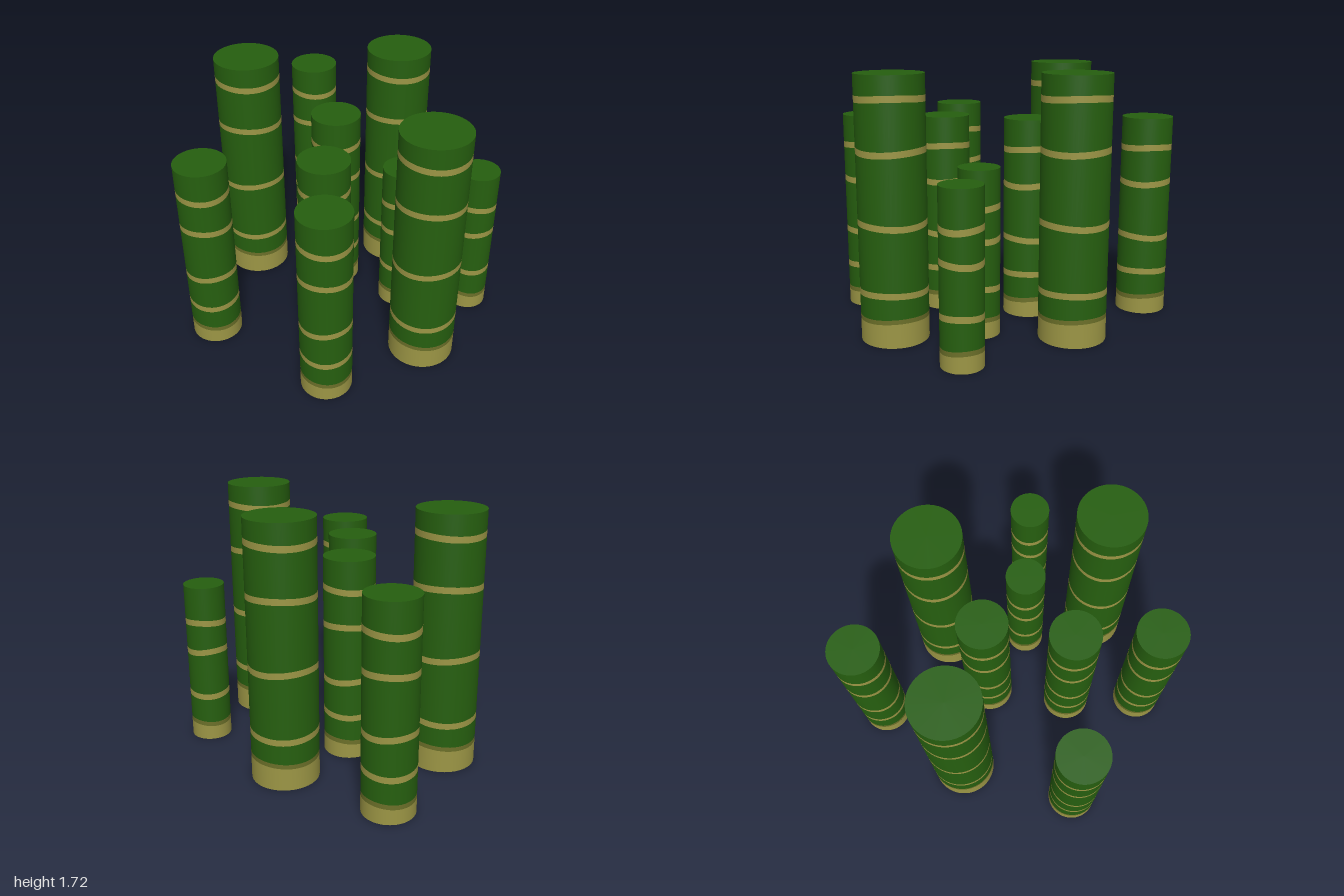
import * as THREE from 'three';

const SEGMENTS = 48;

function material(name, color) {
  const m = new THREE.MeshStandardMaterial({ color, side: THREE.DoubleSide });
  m.name = name;
  return m;
}

// Gentle rise and fall of each ring around the stalk
const wave = (angle, row) => 0.007 * Math.cos(2 * angle + row * 1.9);

// Open tube section whose lower and upper rims follow the wave
function section(radius, y0, y1, wave0, wave1) {
  const geo = new THREE.CylinderGeometry(radius, radius, 1, SEGMENTS, 1, true);
  const p = geo.attributes.position;
  for (let i = 0; i < p.count; i++) {
    const angle = Math.atan2(p.getX(i), p.getZ(i));
    p.setY(i, p.getY(i) < 0 ? y0 + wave0(angle) : y1 + wave1(angle));
  }
  return geo;
}

// The three stalk sizes: base is the pale foot, fade the band above it
const SIZES = {
  large: { radius: 0.222, height: 1.72, base: 0.155, fade: 0.185, rings: [0.34, 0.783, 1.245, 1.572] },
  medium: { radius: 0.171, height: 1.38, base: 0.105, fade: 0.137, rings: [0.303, 0.553, 0.933, 1.178] },
  small: { radius: 0.137, height: 1.12, base: 0.105, fade: 0.137, rings: [0.333, 0.66, 0.867] },
};

// Positions [size, x, z]
const STALKS = [
  ['large', -0.78, -0.025], ['large', 0.02, -0.73], ['large', 0.778, 0.145],
  ['medium', -0.755, -0.785], ['medium', -0.165, -0.21], ['medium', 0.105, 0.328],
  ['medium', -0.525, 0.782], ['medium', 0.42, 0.782],
  ['small', 0.817, -0.49], ['small', 0.37, -0.23],
];

export function createModel() {
  const green = material('stalkGreen', 0x265f0f);
  const tan = material('ringTan', 0x9c9645);
  const olive = material('fadeOlive', 0x6c7029);
  const flat = () => 0;

  function stalk(size) {
    const { radius, height, base, fade, rings } = SIZES[size];
    const group = new THREE.Group();
    group.name = size + 'Stalk';

    let y = 0, rim = flat;
    const add = (name, top, topRim, mat) => {
      const mesh = new THREE.Mesh(section(radius, y, top, rim, topRim), mat);
      mesh.name = name;
      group.add(mesh);
      y = top;
      rim = topRim;
    };

    // Pale foot and the darker band above it
    const footWave = a => wave(a, 0.5);
    add('foot', base, footWave, tan);
    add('footFade', fade, footWave, olive);

    // Alternating green lengths and node rings
    rings.forEach((ring, i) => {
      const ringWave = a => wave(a, i + 1);
      add('internode', ring - 0.021, ringWave, green);
      add('nodeRing', ring + 0.021, ringWave, tan);
    });
    add('internode', height, flat, green);

    // Closed top; the bottom stays open
    const cap = new THREE.Mesh(new THREE.CircleGeometry(radius, SEGMENTS), green);
    cap.name = 'topCap';
    cap.rotation.x = -Math.PI / 2;
    cap.position.y = height;
    group.add(cap);
    return group;
  }

  const model = new THREE.Group();
  model.name = 'bambooStalks';
  for (const [size, x, z] of STALKS) {
    const s = stalk(size);
    s.position.set(x, 0, z);
    model.add(s);
  }
  return model;
}
